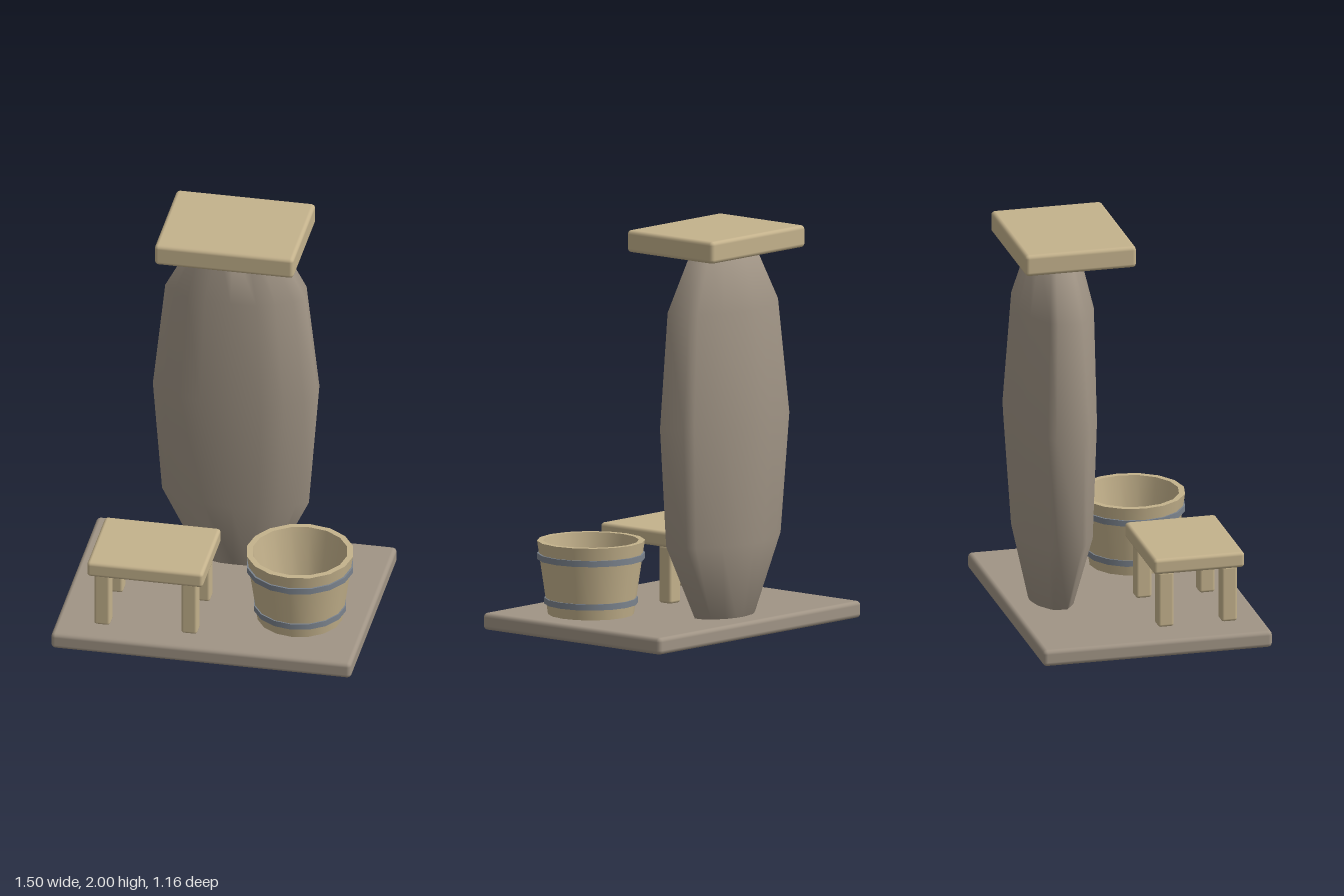
import * as THREE from 'three';
import { mergeGeometries } from 'three/addons/utils/BufferGeometryUtils.js';
import { RoundedBoxGeometry } from 'three/addons/geometries/RoundedBoxGeometry.js';

const stone = new THREE.MeshStandardMaterial({ name: 'stone', color: 0xa09485 });
const wood = new THREE.MeshStandardMaterial({ name: 'wood', color: 0xc4b28c });
const metal = new THREE.MeshStandardMaterial({ name: 'metal', color: 0x7b838d });

// Rounded slab given by its extents [min, max] on each axis
function slab(name, material, [x0, x1], [y0, y1], [z0, z1], radius) {
  const mesh = new THREE.Mesh(new RoundedBoxGeometry(x1 - x0, y1 - y0, z1 - z0, 2, radius), material);
  mesh.position.set((x0 + x1) / 2, (y0 + y1) / 2, (z0 + z1) / 2);
  mesh.name = name;
  return mesh;
}

// Turned part with sharp edges between the profile's segments
function turned(name, material, profile) {
  const parts = [];
  for (let i = 0; i < profile.length - 1; i++) {
    const pair = [profile[i], profile[i + 1]].map(([r, y]) => new THREE.Vector2(r, y));
    parts.push(new THREE.LatheGeometry(pair, 16));
  }
  const geometry = mergeGeometries(parts);
  geometry.normalizeNormals();
  const mesh = new THREE.Mesh(geometry, material);
  mesh.name = name;
  return mesh;
}

// Bulging pillar lofted from one cross-section scaled at each level
function pillar() {
  // half section: x as a share of the half width, z from 0 (back) to 1 (front)
  const half = [[0, 1], [0.37, 0.985], [0.63, 0.92], [0.85, 0.78], [1, 0.685],
    [0.95, 0.37], [0.85, 0.29], [0.54, 0.1], [0.2, 0.02], [0, 0]];
  const mirrored = half.slice(1, -1).reverse().map(([x, z]) => [-x, z]);
  const section = [...half, ...mirrored];
  // y, half width, back z, front z
  const levels = [[0.085, 0.19, -0.46, -0.25], [0.46, 0.367, -0.54, -0.168],
    [1.05, 0.413, -0.58, -0.15], [1.62, 0.35, -0.54, -0.16], [1.91, 0.195, -0.46, -0.225]];
  const n = section.length;
  const positions = [];
  const index = [];
  for (const [y, w, back, front] of levels) {
    for (const [x, z] of section) positions.push(x * w, y, back + z * (front - back));
  }
  for (let l = 0; l < levels.length - 1; l++) {
    for (let i = 0; i < n; i++) {
      const a = l * n + i, b = l * n + (i + 1) % n;
      index.push(a, b, a + n, b, b + n, a + n);
    }
  }
  // end caps
  const top = (levels.length - 1) * n;
  for (let i = 1; i < n - 1; i++) index.push(0, i + 1, i, top, top + i, top + i + 1);
  const geometry = new THREE.BufferGeometry();
  geometry.setAttribute('position', new THREE.Float32BufferAttribute(positions, 3));
  geometry.setIndex(index);
  geometry.computeVertexNormals();
  const mesh = new THREE.Mesh(geometry, stone);
  mesh.name = 'pillar';
  return mesh;
}

function stool() {
  const group = new THREE.Group();
  group.name = 'stool';
  group.add(slab('stoolSeat', wood, [-0.59, -0.01], [0.37, 0.45], [0.02, 0.48], 0.018));
  for (const x of [-0.52, -0.085]) {
    for (const z of [0.09, 0.41]) {
      group.add(slab('stoolLeg', wood, [x - 0.04, x + 0.04], [0.085, 0.372], [z - 0.04, z + 0.04], 0.014));
    }
  }
  return group;
}

function bucket() {
  const group = new THREE.Group();
  group.name = 'bucket';
  group.position.set(0.413, 0, 0.165);
  // outer wall, rim, inner wall and floor
  group.add(turned('bucketBody', wood,
    [[0, 0.083], [0.211, 0.083], [0.265, 0.45], [0.235, 0.45], [0.178, 0.115], [0, 0.115]]));
  for (const [y, r] of [[0.373, 0.265], [0.152, 0.23]]) {
    group.add(turned('bucketHoop', metal, [[r - 0.03, y - 0.015], [r, y - 0.015],
      [r, y + 0.015], [r - 0.02, y + 0.015]]));
  }
  return group;
}

export function createModel() {
  const model = new THREE.Group();
  model.name = 'washPlace';
  model.add(
    slab('base', stone, [-0.75, 0.75], [0, 0.085], [-0.58, 0.58], 0.022),
    pillar(),
    slab('capSlab', wood, [-0.35, 0.345], [1.89, 2], [-0.567, -0.005], 0.02),
    stool(),
    bucket(),
  );
  return model;
}
